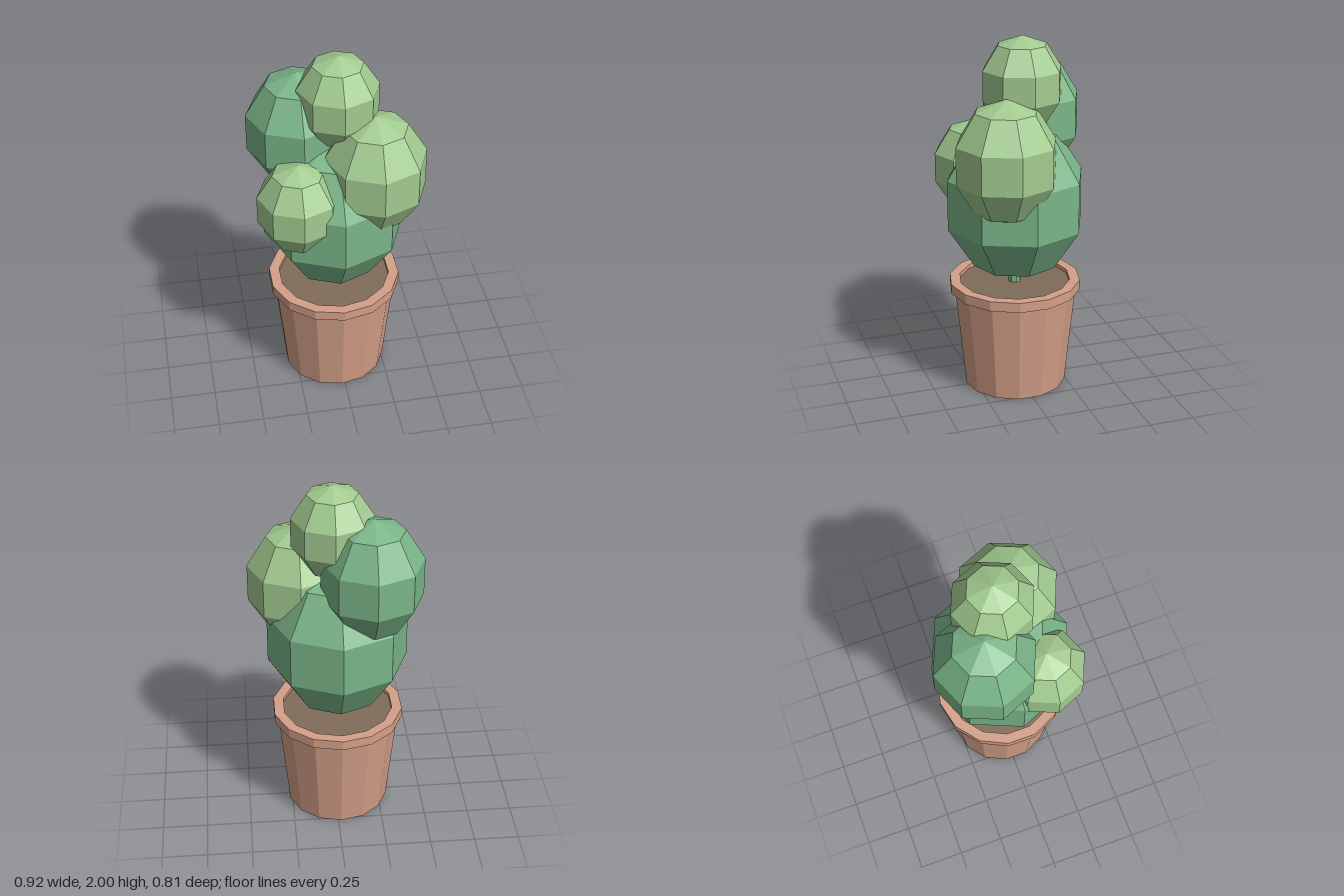
import * as THREE from 'three';

const mat = (color) => new THREE.MeshStandardMaterial({ color, flatShading: true });

export function createModel() {
  const model = new THREE.Group();
  model.name = 'pottedCactus';
  const clay = mat(0xd4a088);
  const soilMat = mat(0x806c5a);
  const darkGreen = mat(0x7ab588);
  const lightGreen = mat(0xa2cb90);

  const add = (name, geometry, material, x, y, z) => {
    const mesh = new THREE.Mesh(geometry, material);
    mesh.name = name;
    mesh.position.set(x, y, z);
    model.add(mesh);
    return mesh;
  };

  // Fourteen-sided pot parts, turned from profiles
  const px = -0.017, pz = 0.016, sides = 14;
  const lathe = (points) =>
    new THREE.LatheGeometry(points.map(([r, y]) => new THREE.Vector2(r, y)), sides);
  add('pot', lathe([[0, 0], [0.287, 0], [0.343, 0.566]]), clay, px, 0, pz);
  add('potRim', lathe([[0.31, 0.566], [0.367, 0.566], [0.367, 0.622], [0.31, 0.622], [0.31, 0.566]]), clay, px, 0, pz);
  add('soil', lathe([[0.312, 0.6], [0, 0.6]]), soilMat, px, 0, pz);

  // Short stem between the soil and the main lobe
  add('stem', new THREE.CylinderGeometry(0.035, 0.035, 0.06, 8), darkGreen, px, 0.615, pz);

  // Faceted egg-shaped lobes: name, material, centre, radius, half height
  const lobes = [
    ['mainLobe', darkGreen, [-0.017, 1.085, 0.011], 0.404, 0.455],
    ['backLobe', darkGreen, [-0.188, 1.515, -0.133], 0.287, 0.34],
    ['topLobe', lightGreen, [0.012, 1.74, -0.018], 0.23, 0.26],
    ['frontLeftLobe', lightGreen, [0.187, 1.37, 0.126], 0.289, 0.34],
    ['frontRightLobe', lightGreen, [-0.232, 1.235, 0.185], 0.231, 0.26],
  ];
  for (const [name, material, centre, radius, halfHeight] of lobes) {
    const geometry = new THREE.SphereGeometry(1, 8, 5).scale(radius, halfHeight, radius);
    add(name, geometry, material, ...centre);
  }
  return model;
}
